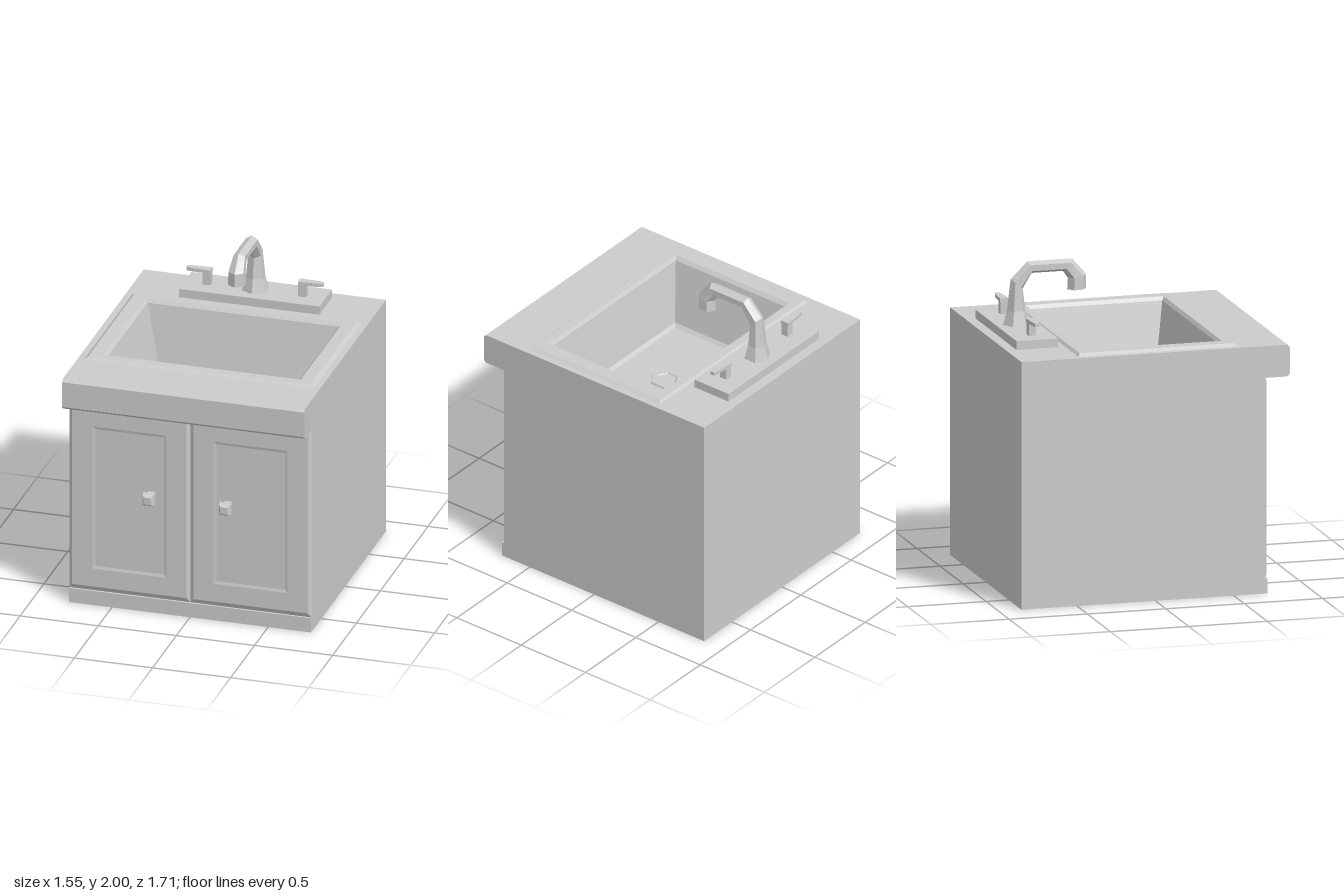
import * as THREE from 'three';

const material = new THREE.MeshStandardMaterial({ color: 0xcccccc, flatShading: true, side: THREE.DoubleSide });

function part(name, geometry, parent, x = 0, y = 0, z = 0) {
  const mesh = new THREE.Mesh(geometry, material);
  mesh.name = name;
  mesh.position.set(x, y, z);
  parent.add(mesh);
  return mesh;
}

// Joins rings of [x, y, z] corners, counter-clockwise seen from the end of the loft
function loft(rings, capStart, capEnd) {
  const pos = [];
  const n = rings[0].length;
  const tri = (a, b, c) => pos.push(...a, ...b, ...c);
  for (let r = 0; r < rings.length - 1; r++) {
    const a = rings[r], b = rings[r + 1];
    for (let i = 0; i < n; i++) {
      const j = (i + 1) % n;
      tri(a[i], a[j], b[j]);
      tri(a[i], b[j], b[i]);
    }
  }
  const first = rings[0], last = rings[rings.length - 1];
  for (let i = 1; i < n - 1; i++) {
    if (capStart) tri(first[0], first[i + 1], first[i]);
    if (capEnd) tri(last[0], last[i], last[i + 1]);
  }
  const geometry = new THREE.BufferGeometry();
  geometry.setAttribute('position', new THREE.Float32BufferAttribute(pos, 3));
  geometry.computeVertexNormals();
  return geometry;
}

// Horizontal rectangle at height y, and upright rectangle at depth z
const flatRing = ([y, w, z0, z1]) => [[-w, y, z1], [w, y, z1], [w, y, z0], [-w, y, z0]];
const uprightRing = ([z, x0, x1, y0, y1]) => [[x0, y0, z], [x1, y0, z], [x1, y1, z], [x0, y1, z]];

function buildDoor(side) {
  const door = new THREE.Group();
  door.name = side > 0 ? 'leftDoor' : 'rightDoor';
  const span = (a, b) => (side > 0 ? [a, b] : [-b, -a]);
  // bevelled slab with a shallow sunken panel
  part('doorPanel', loft([
    [0.7, ...span(0, 0.775), 0.095, 1.355],
    [0.715, ...span(0.023, 0.755), 0.125, 1.325],
    [0.715, ...span(0.15, 0.625), 0.245, 1.2],
    [0.71, ...span(0.168, 0.607), 0.263, 1.182],
  ].map(uprightRing), false, true), door);
  // square knob with a chamfered head
  const knob = [[0, 0.024], [0.02, 0.02], [0.035, 0.02], [0.047, 0.037], [0.078, 0.037], [0.097, 0.023]];
  part('knob', loft(knob.map(([z, r]) => uprightRing([z, -r, r, -r, r])), false, true),
    door, side * 0.245, 0.787, 0.713);
  return door;
}

function buildTap() {
  const tap = new THREE.Group();
  tap.name = 'tap';
  part('tapPlate', new THREE.BoxGeometry(0.9, 0.055, 0.265), tap, 0, 1.5825, -0.6575);

  // six-sided spout: outer z, y, inner z, y, half width
  const spout = [
    [-0.745, 1.61, -0.578, 1.61, 0.075],
    [-0.72, 1.7, -0.603, 1.7, 0.053],
    [-0.697, 1.895, -0.62, 1.832, 0.04],
    [-0.59, 2.0, -0.563, 1.925, 0.037],
    [-0.305, 2.0, -0.363, 1.925, 0.037],
    [-0.218, 1.9, -0.332, 1.88, 0.047],
    [-0.215, 1.812, -0.336, 1.808, 0.05],
  ].map(([oz, oy, iz, iy, w]) => Array.from({ length: 6 }, (_, k) => {
    const c = Math.cos(k * Math.PI / 3) / 2;
    const s = Math.sin(k * Math.PI / 3) / Math.sin(Math.PI / 3);
    return [-w * s, (oy + iy) / 2 + (oy - iy) * c, (oz + iz) / 2 + (oz - iz) * c];
  }));
  part('spout', loft(spout, false, true), tap);

  // tapered lever on a square stem
  const outline = new THREE.Shape([[0.28, -0.027], [0.39, -0.022], [0.437, -0.014],
    [0.437, 0.014], [0.39, 0.022], [0.28, 0.027]].map(([x, y]) => new THREE.Vector2(x, y)));
  const leverGeometry = new THREE.ExtrudeGeometry(outline, { depth: 0.022, bevelEnabled: false });
  leverGeometry.rotateX(-Math.PI / 2);
  for (const side of [1, -1]) {
    const handle = new THREE.Group();
    handle.name = side > 0 ? 'leftHandle' : 'rightHandle';
    part('handleStem', new THREE.BoxGeometry(0.05, 0.08, 0.046), handle, 0.306, 0.04, 0);
    part('handleLever', leverGeometry, handle, 0, 0.078, 0);
    handle.position.set(0, 1.61, -0.655);
    if (side < 0) handle.rotation.y = Math.PI;
    tap.add(handle);
  }
  return tap;
}

export function createModel() {
  const model = new THREE.Group();
  model.name = 'sinkCabinet';

  // cabinet with a plinth along the front
  part('cabinet', loft([
    [0, 0.775, -0.855, 0.715],
    [0.095, 0.775, -0.855, 0.715],
    [0.095, 0.775, -0.855, 0.7],
    [1.355, 0.775, -0.855, 0.7],
  ].map(flatRing), true, false), model);

  // overhanging worktop, open where the basin sits
  part('worktop', loft([
    [1.355, 0.775, -0.855, 0.7],
    [1.355, 0.775, -0.855, 0.84],
    [1.372, 0.775, -0.855, 0.857],
    [1.538, 0.775, -0.855, 0.857],
    [1.555, 0.775, -0.855, 0.842],
    [1.555, 0.735, -0.48, 0.535],
  ].map(flatRing), false, false), model);

  // raised rim, sloping walls and floor
  part('basin', loft([
    [1.555, 0.735, -0.48, 0.535],
    [1.572, 0.712, -0.465, 0.518],
    [1.572, 0.632, -0.415, 0.465],
    [1.55, 0.612, -0.4, 0.45],
    [1.17, 0.52, -0.333, 0.385],
    [1.15, 0.5, -0.315, 0.365],
  ].map(flatRing), false, true), model);

  // six-sided drain ring
  const drain = [[0.105, 0], [0.1, 0.012], [0.072, 0.012], [0.066, 0.003], [0, 0.003]]
    .map(([x, y]) => new THREE.Vector2(x, y));
  part('drain', new THREE.LatheGeometry(drain, 6), model, 0, 1.15, 0.045);

  model.add(buildDoor(1), buildDoor(-1), buildTap());
  return model;
}
